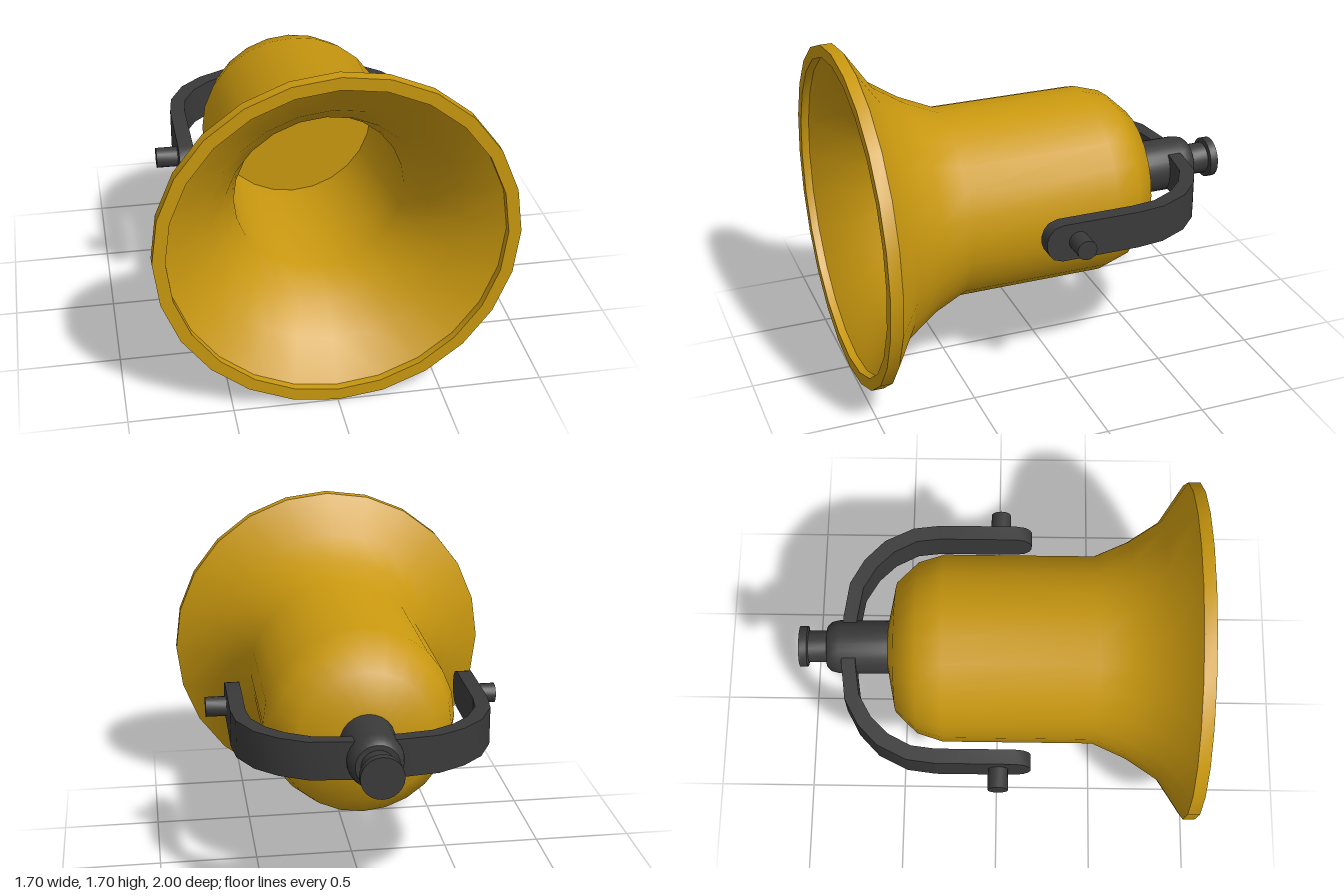
import * as THREE from 'three';
import { toCreasedNormals } from 'three/addons/utils/BufferGeometryUtils.js';

const AXIS_Y = 0.855;
const gold = new THREE.MeshStandardMaterial({ color: 0xc9980f });
const iron = new THREE.MeshStandardMaterial({ color: 0x3a3a3a });

const vecs = (pts) => pts.map(([a, b]) => new THREE.Vector2(a, b));

function addMesh(parent, name, geometry, material) {
  const mesh = new THREE.Mesh(toCreasedNormals(geometry, 0.65), material);
  mesh.name = name;
  parent.add(mesh);
  return mesh;
}

// Profile of [radius, z] turned about the z axis
function turned(profile) {
  return new THREE.LatheGeometry(vecs(profile), 24).rotateX(Math.PI / 2);
}

export function createModel() {
  const model = new THREE.Group();
  model.name = 'bell';
  const body = new THREE.Group();
  body.name = 'bellAssembly';
  body.position.y = AXIS_Y;
  model.add(body);

  // Flared shell: outside from crown to lip, then back down the inside
  addMesh(body, 'bellShell', turned([
    [0, -0.55], [0.13, -0.55], [0.33, -0.51], [0.435, -0.40], [0.475, -0.27],
    [0.475, 0.48], [0.55, 0.65], [0.655, 0.81], [0.85, 0.94], [0.85, 1],
    [0.79, 1], [0.79, 0.96], [0.61, 0.83], [0.49, 0.66], [0.415, 0.49],
    [0.415, -0.27], [0, -0.27],
  ]), gold);

  // Crown post with narrow neck and end flange
  addMesh(body, 'crownPost', turned([
    [0, -1], [0.103, -1], [0.103, -0.96], [0.08, -0.955], [0.08, -0.86],
    [0.105, -0.86], [0.125, -0.84], [0.135, -0.80], [0.135, -0.53], [0, -0.53],
  ]), iron);

  // Curved part of the yoke: outer and inner edges of one half, mirrored
  const outer = [[0.635, -0.30], [0.617, -0.44], [0.545, -0.585], [0.44, -0.685], [0.31, -0.755], [0.12, -0.78]];
  const inner = [[0.56, -0.30], [0.545, -0.42], [0.485, -0.535], [0.40, -0.62], [0.285, -0.685], [0.12, -0.71]];
  const mirror = (pts) => pts.map(([x, z]) => [-x, z]).reverse();
  const outline = [...outer, ...mirror(outer), ...inner.map(([x, z]) => [-x, z]), ...inner.slice().reverse()];
  const arch = new THREE.ExtrudeGeometry(
    new THREE.Shape(vecs(outline.map(([x, z]) => [x, -z]))),
    { depth: 0.19, bevelEnabled: false },
  ).rotateX(-Math.PI / 2).translate(0, -0.095, 0);
  addMesh(body, 'yokeArch', arch, iron);

  // Straight arms with rounded ends, and the pivot pins
  const arm = new THREE.Shape(vecs([
    [0.30, 0.095], [-0.09, 0.095], [-0.135, 0.08], [-0.16, 0.05], [-0.17, 0.02],
    [-0.17, -0.02], [-0.16, -0.05], [-0.135, -0.08], [-0.09, -0.095], [0.30, -0.095],
  ]));
  for (const [side, label] of [[1, 'left'], [-1, 'right']]) {
    const armGeometry = new THREE.ExtrudeGeometry(arm, { depth: 0.075, bevelEnabled: false })
      .rotateY(Math.PI / 2).translate(side * 0.5975 - 0.0375, 0, 0);
    addMesh(body, label + 'YokeArm', armGeometry, iron);

    const pin = new THREE.CylinderGeometry(0.05, 0.05, 0.13, 16).rotateZ(Math.PI / 2);
    addMesh(body, label + 'PivotPin', pin, iron).position.set(side * 0.675, 0, 0.01);
  }

  return model;
}
